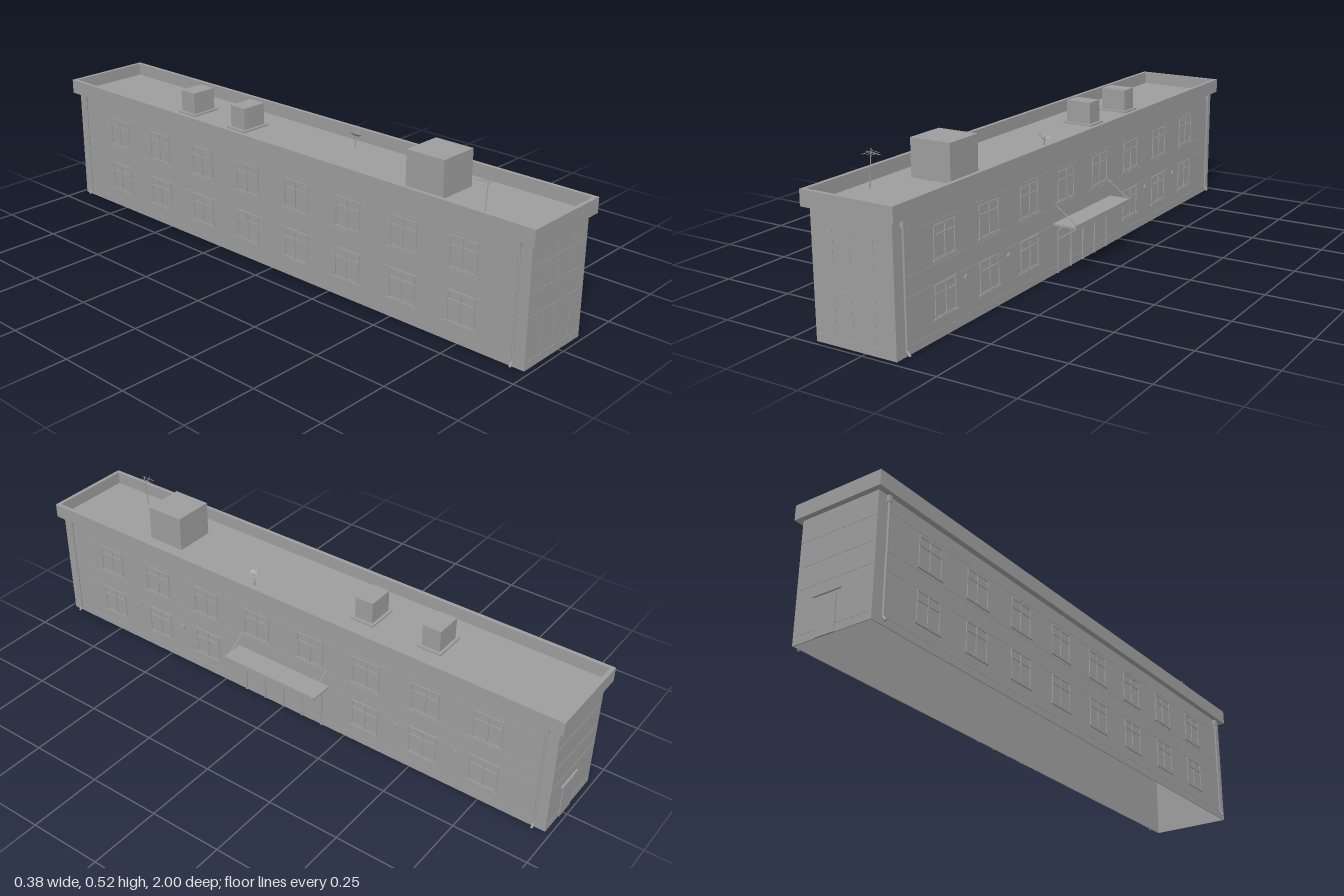
import * as THREE from 'three';

const grey = new THREE.MeshStandardMaterial({ color: 0x9d9d9d, side: THREE.DoubleSide });
grey.name = 'concrete grey';

const CX = -0.033, HALF = 0.14, END = 0.983;   // wall block: centre, half width, half length
const ROOF = 0.397, TOP = 0.44;

function add(parent, name, geometry, x = 0, y = 0, z = 0) {
  const mesh = new THREE.Mesh(geometry, grey);
  mesh.name = name;
  mesh.position.set(x, y, z);
  parent.add(mesh);
  return mesh;
}

// Box given by its limits on each axis
function block(parent, name, x0, x1, y0, y1, z0, z1) {
  return add(parent, name, new THREE.BoxGeometry(Math.abs(x1 - x0), y1 - y0, Math.abs(z1 - z0)),
    (x0 + x1) / 2, (y0 + y1) / 2, (z0 + z1) / 2);
}

function rod(parent, name, a, b, r, sides = 6) {
  const p = new THREE.Vector3(...a), q = new THREE.Vector3(...b);
  const mesh = add(parent, name, new THREE.CylinderGeometry(r, r, p.distanceTo(q), sides));
  mesh.position.copy(p).add(q).multiplyScalar(0.5);
  mesh.quaternion.setFromUnitVectors(new THREE.Vector3(0, 1, 0), q.sub(p).normalize());
  return mesh;
}

// Rectangular tube standing upright, open in the middle
function ring(parent, name, x0, x1, halfZ, t, y0, y1) {
  const rect = (Type, d) => {
    const s = new Type();
    s.moveTo(x0 + d, -halfZ + d);
    s.lineTo(x1 - d, -halfZ + d);
    s.lineTo(x1 - d, halfZ - d);
    s.lineTo(x0 + d, halfZ - d);
    s.closePath();
    return s;
  };
  const shape = rect(THREE.Shape, 0);
  shape.holes.push(rect(THREE.Path, t));
  const geo = new THREE.ExtrudeGeometry(shape, { depth: y1 - y0, bevelEnabled: false });
  geo.rotateX(-Math.PI / 2);
  return add(parent, name, geo, 0, y0, 0);
}

// Thin frame bar on a long wall; s is the side, u runs along the wall
function wallBar(parent, name, s, u0, u1, y0, y1, d = 0.003) {
  const x = CX + s * HALF;
  block(parent, name, x, x + s * d, y0, y1, u0, u1);
}

function makeWindow(parent, s, z, y) {
  const g = new THREE.Group();
  g.name = 'window';
  parent.add(g);
  const w = 0.05, h = 0.1, t = 0.004;
  for (const u of [-w, -0.004, w - t]) wallBar(g, 'windowPost', s, z + u, z + u + t, y, y + h);
  for (const v of [0, h - t]) wallBar(g, 'windowRail', s, z - w, z + w, y + v, y + v + t);
  wallBar(g, 'transom', s, z - w, z + w, y + h * 0.68, y + h * 0.68 + t);
  wallBar(g, 'sill', s, z - w - 0.006, z + w + 0.006, y - 0.004, y, 0.005);
}

function makeDownpipe(parent, s, z) {
  const g = new THREE.Group();
  g.name = 'downpipe';
  parent.add(g);
  const x = CX + s * (HALF + 0.005);
  rod(g, 'pipe', [x, 0.018, z], [x, 0.372, z], 0.004, 8);
  block(g, 'hopper', CX + s * HALF, CX + s * (HALF + 0.011), 0.368, 0.388, z - 0.006, z + 0.006);
  rod(g, 'spout', [x, 0.02, z], [x + s * 0.011, 0.006, z], 0.004, 8);
}

export function createModel() {
  const model = new THREE.Group();
  model.name = 'longBuilding';

  // Shell, open underneath
  ring(model, 'walls', CX - HALF, CX + HALF, END, 0.003, 0, 0.392);
  block(model, 'roof', -0.18, 0.113, 0.391, ROOF, -0.988, 0.988);
  ring(model, 'parapet', -0.192, 0.125, 1, 0.013, 0.391, TOP);

  // Windows, with the entrance taking two ground floor bays
  for (const s of [-1, 1]) {
    for (let i = 0; i < 8; i++) {
      const z = (i - 3.5) * 0.217;
      makeWindow(model, s, z, 0.235);
      if (s < 0 || (i !== 3 && i !== 4)) makeWindow(model, s, z, 0.064);
    }
    // Panel joints
    for (const y of [0.025, 0.165, 0.222, 0.345])
      wallBar(model, 'panelJoint', s, -END + 0.02, END - 0.02, y, y + 0.0015, 0.001);
    for (const z of [-0.945, 0.945]) makeDownpipe(model, s, z);
  }

  // Round wall lamps on the entrance side
  for (const z of [-0.66, -0.44, 0.44, 0.66]) {
    const lamp = add(model, 'wallLamp', new THREE.CylinderGeometry(0.01, 0.01, 0.005, 12),
      CX + HALF + 0.002, 0.14, z);
    lamp.rotation.z = Math.PI / 2;
  }

  // Entrance doors
  for (const z of [-0.16, -0.08, -0.003, 0.074, 0.154])
    wallBar(model, 'doorPost', 1, z, z + 0.006, 0, 0.145, 0.004);
  for (const y of [0.11, 0.141]) wallBar(model, 'doorRail', 1, -0.16, 0.16, y, y + 0.004, 0.004);

  // Canopy with tie rods
  const canopy = new THREE.Group();
  canopy.name = 'canopy';
  model.add(canopy);
  block(canopy, 'canopySlab', CX + HALF, 0.19, 0.165, 0.172, -0.185, 0.185);
  block(canopy, 'canopyLip', 0.188, 0.191, 0.163, 0.178, -0.187, 0.187);
  for (const z of [-0.172, 0.172]) rod(canopy, 'tieRod', [0.107, 0.23, z], [0.187, 0.173, z], 0.0015);

  // End walls: joints on both, a small door at the back
  for (const s of [-1, 1]) {
    const z = s * END;
    for (const y of [0.025, 0.165, 0.235, 0.315])
      block(model, 'endJoint', -0.165, 0.1, y, y + 0.0015, z, z + s * 0.001);
    if (s > 0) for (const x of [-0.1, -0.04, 0.04]) for (const y of [0.026, 0.236])
      block(model, 'endSeam', x, x + 0.0015, y, y + 0.139 - (y > 0.2 ? 0.03 : 0), z, z + 0.001);
  }
  block(model, 'backDoor', -0.045, 0.025, 0, 0.115, -END, -END - 0.003);
  block(model, 'backDoorHood', -0.06, 0.04, 0.125, 0.13, -END, -END - 0.006);

  // Roof housings
  block(model, 'stairHousing', -0.104, 0.036, ROOF, 0.517, 0.49, 0.628);
  for (const z of [-0.245, -0.492]) {
    block(model, 'ventBase', -0.092, 0.02, ROOF, ROOF + 0.006, z - 0.042, z + 0.042);
    block(model, 'ventHousing', -0.082, 0.01, ROOF, 0.477, z - 0.032, z + 0.032);
  }

  // Aerial
  const aerial = new THREE.Group();
  aerial.name = 'aerial';
  model.add(aerial);
  rod(aerial, 'mast', [-0.125, ROOF, 0.79], [-0.114, 0.517, 0.79], 0.0015);
  rod(aerial, 'boom', [-0.137, 0.505, 0.785], [-0.094, 0.497, 0.775], 0.0012);
  for (const [x, l] of [[-0.13, 0.026], [-0.116, 0.022], [-0.102, 0.016]])
    rod(aerial, 'element', [x, 0.502, 0.785 - l], [x, 0.502, 0.785 + l], 0.001);

  // Satellite dish
  const dish = new THREE.Group();
  dish.name = 'satelliteDish';
  model.add(dish);
  rod(dish, 'dishPost', [0.055, ROOF, 0.155], [0.055, 0.438, 0.155], 0.002);
  const profile = [[0, 0], [0.01, 0.001], [0.016, 0.004], [0.02, 0.007]].map(p => new THREE.Vector2(...p));
  const bowl = add(dish, 'bowl', new THREE.LatheGeometry(profile, 16), 0.055, 0.436, 0.155);
  bowl.rotation.z = -0.4;
  rod(dish, 'feedArm', [0.055, 0.437, 0.155], [0.069, 0.45, 0.16], 0.001);

  return model;
}
